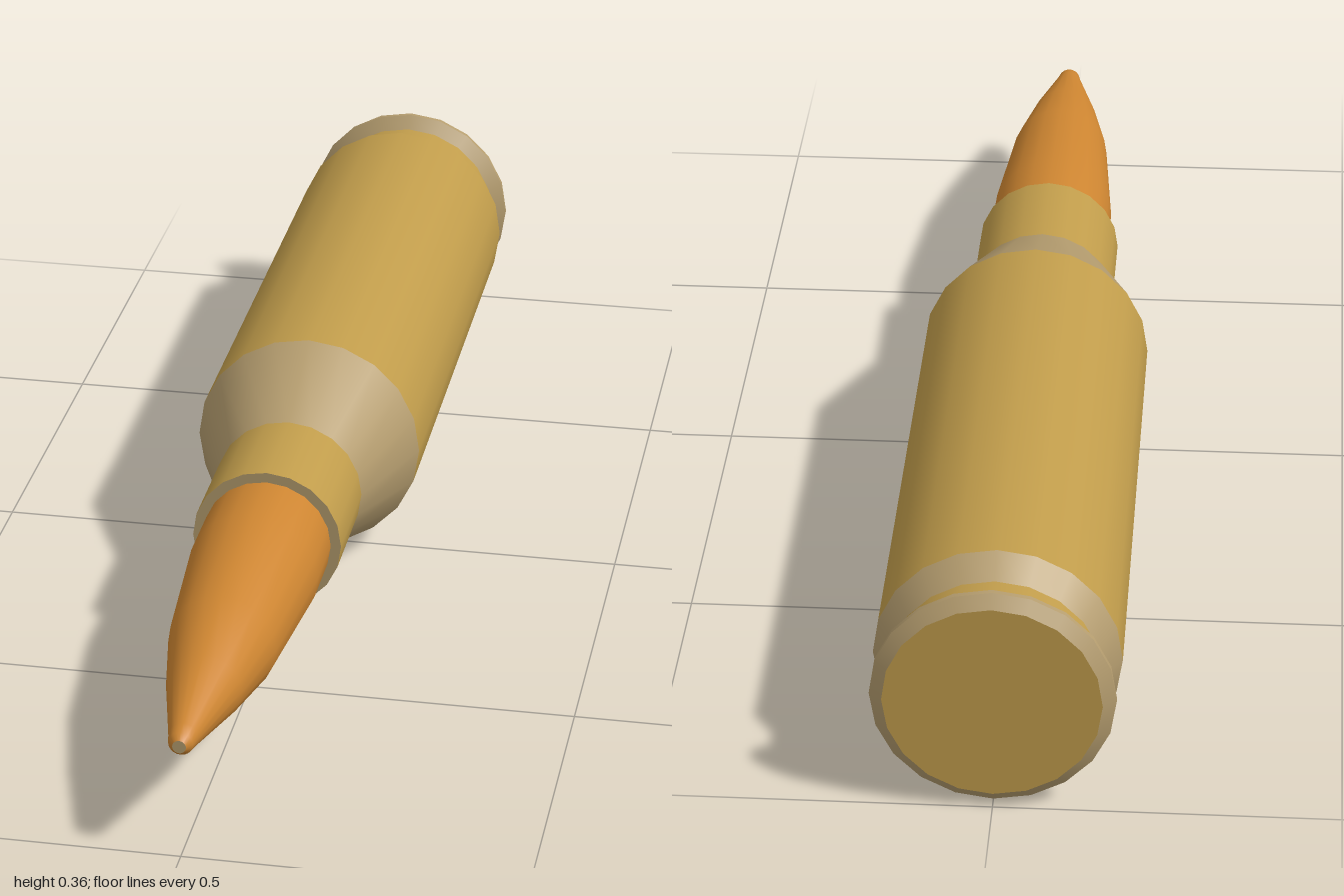
import * as THREE from 'three';

const SIDES = 20;

export function createModel() {
  const model = new THREE.Group();
  model.name = 'cartridge';

  const brass = new THREE.MeshStandardMaterial({ name: 'brass', color: 0xc09c4b });
  const paleBrass = new THREE.MeshStandardMaterial({ name: 'pale brass', color: 0xb59d6f });
  const copper = new THREE.MeshStandardMaterial({ name: 'copper', color: 0xcd8531 });

  // Turned band along z; the profile is [radius, z] from back to front.
  function band(name, material, profile) {
    const points = profile.map(([r, z]) => new THREE.Vector2(r, z));
    const geometry = new THREE.LatheGeometry(points, SIDES);
    geometry.rotateX(Math.PI / 2);
    const mesh = new THREE.Mesh(geometry, material);
    mesh.name = name;
    mesh.position.y = 0.18;
    model.add(mesh);
  }

  // Base and rim
  band('baseFace', brass, [[0, -1], [0.157, -1]]);
  band('rimBackBevel', paleBrass, [[0.157, -1], [0.176, -0.985]]);
  band('rimEdge', paleBrass, [[0.176, -0.985], [0.176, -0.977]]);
  band('rimFrontBevel', paleBrass, [[0.176, -0.977], [0.155, -0.96]]);

  // Case
  band('extractorGroove', brass, [[0.155, -0.96], [0.155, -0.923]]);
  band('bodyBevel', paleBrass, [[0.155, -0.923], [0.18, -0.88]]);
  band('body', brass, [[0.18, -0.88], [0.18, 0.01]]);
  band('shoulder', paleBrass, [[0.18, 0.01], [0.116, 0.18]]);
  band('neck', brass, [[0.116, 0.18], [0.116, 0.36]]);
  band('mouth', paleBrass, [[0.116, 0.36], [0.1, 0.36]]);

  // Bullet
  band('bullet', copper, [
    [0.1, 0.36], [0.1, 0.47], [0.081, 0.7], [0.056, 0.83], [0.022, 0.97], [0.018, 0.99], [0.01, 1],
  ]);
  band('bulletTip', paleBrass, [[0.01, 1], [0, 1]]);

  return model;
}
